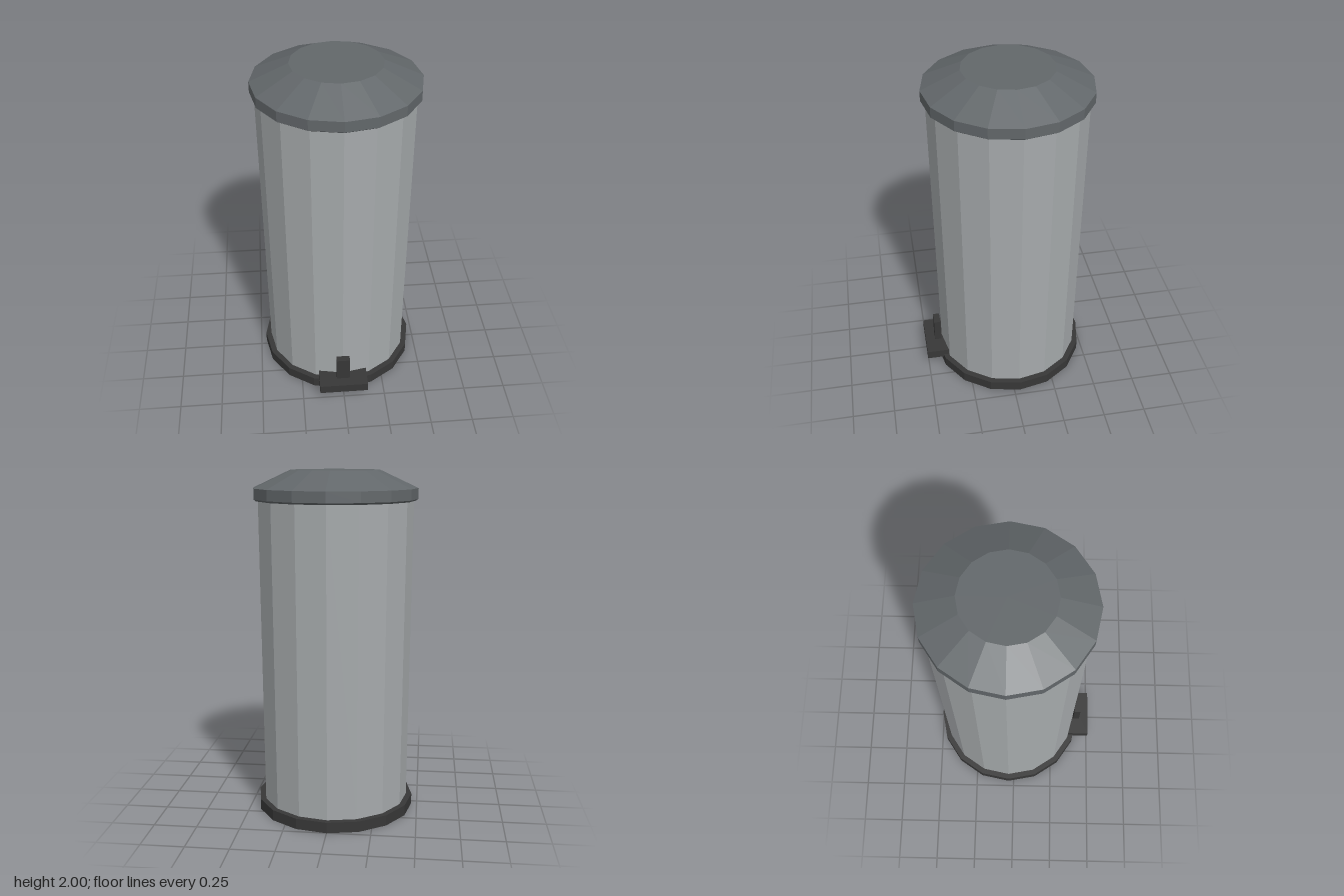
import * as THREE from 'three';

const SIDES = 16;
const CENTER_Z = -0.035;

function material(name, color) {
  const m = new THREE.MeshStandardMaterial({ color, flatShading: true });
  m.name = name;
  return m;
}

export function createModel() {
  const group = new THREE.Group();
  group.name = 'pedalBin';
  const steel = material('brushed steel', 0xa6aaac);
  const lidGrey = material('lid grey', 0x62676a);
  const black = material('black plastic', 0x373737);

  // Faceted round part from a [radius, height] profile, listed bottom to top
  const turned = (name, profile, mat) => {
    const points = profile.map(([r, y]) => new THREE.Vector2(r, y));
    const mesh = new THREE.Mesh(new THREE.LatheGeometry(points, SIDES), mat);
    mesh.name = name;
    mesh.position.z = CENTER_Z;
    group.add(mesh);
  };

  // Box given by its minimum and maximum corners
  const block = (name, min, max, mat) => {
    const size = max.map((v, i) => v - min[i]);
    const mesh = new THREE.Mesh(new THREE.BoxGeometry(...size), mat);
    mesh.name = name;
    mesh.position.set(...max.map((v, i) => (v + min[i]) / 2));
    group.add(mesh);
  };

  // Base ring, slightly tapered body and sloped lid with a small lower bevel
  turned('base', [[0, 0], [0.467, 0], [0.467, 0.063], [0, 0.063]], black);
  turned('body', [[0.433, 0.05], [0.448, 1.84]], steel);
  turned('lid', [[0, 1.83], [0.458, 1.83], [0.472, 1.84], [0.472, 1.9], [0.257, 2], [0, 2]], lidGrey);

  // Foot pedal and its upright stem
  block('pedal', [-0.147, 0.045, 0.37], [0.147, 0.1, 0.505], black);
  block('pedalStem', [-0.04, 0.1, 0.405], [0.04, 0.25, 0.445], black);

  return group;
}
